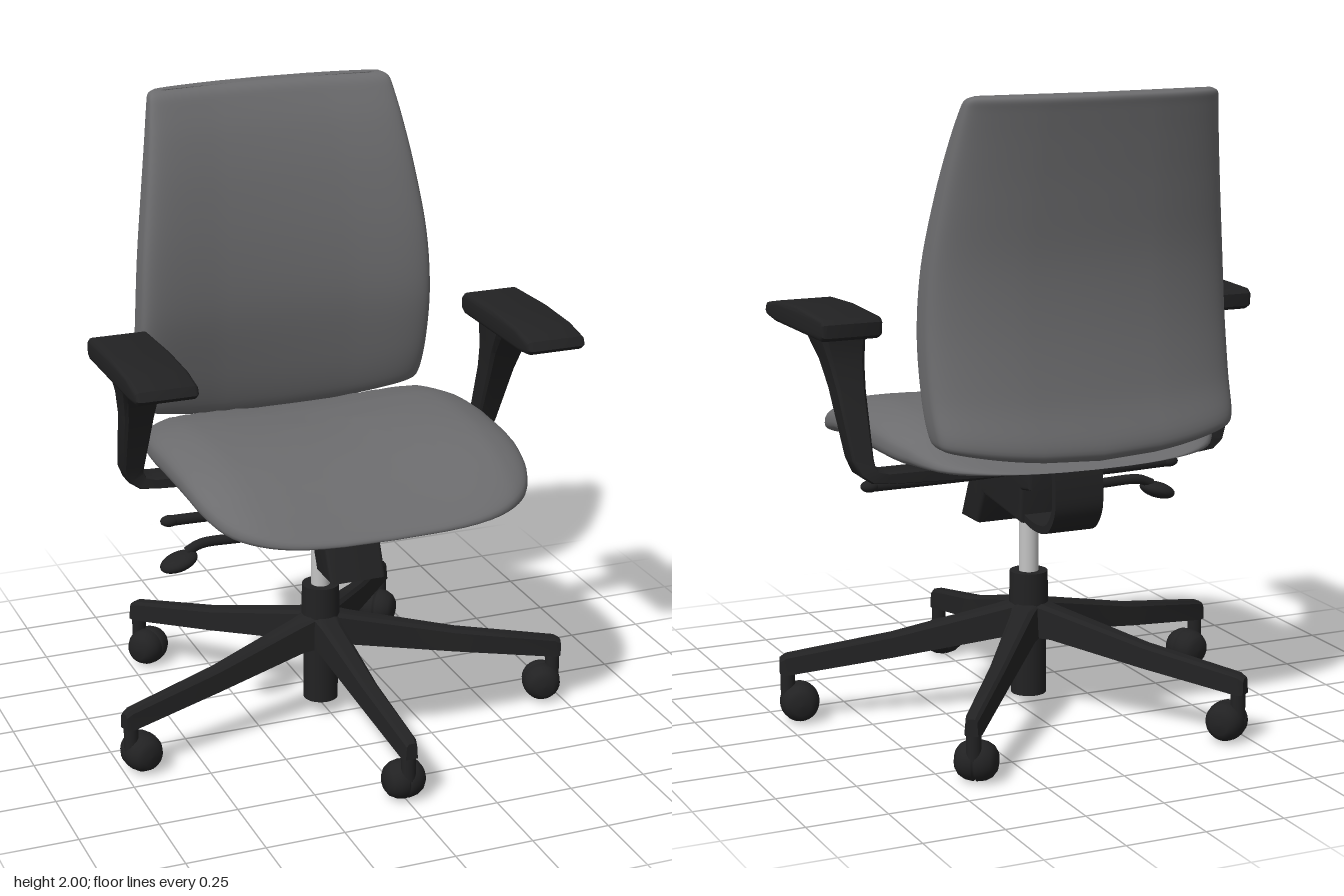
import * as THREE from 'three';
import { toCreasedNormals } from 'three/addons/utils/BufferGeometryUtils.js';

const fabric = new THREE.MeshStandardMaterial({ color: 0x6c6c6e });
fabric.name = 'grey fabric';
const plastic = new THREE.MeshStandardMaterial({ color: 0x222223 });
plastic.name = 'black plastic';
const steel = new THREE.MeshStandardMaterial({ color: 0xc4c4c4 });
steel.name = 'light steel';

const V = (x, y, z) => new THREE.Vector3(x, y, z);
const spow = (v, e) => Math.sign(v) * Math.abs(v) ** e;

function part(parent, name, geo, mat) {
  const m = new THREE.Mesh(geo, mat);
  m.name = name;
  parent.add(m);
  return m;
}

// Closed skin through rings of equal length, with fan caps; always faces outwards
function loft(rings, crease = 0) {
  const n = rings[0].length, pts = rings.flat(), tris = [];
  for (let i = 0; i < rings.length - 1; i++)
    for (let j = 0; j < n; j++) {
      const a = i * n + j, b = i * n + (j + 1) % n;
      tris.push([a, b, a + n], [b, b + n, a + n]);
    }
  for (const end of [0, rings.length - 1]) {
    const c = V(0, 0, 0);
    rings[end].forEach(p => c.addScaledVector(p, 1 / n));
    pts.push(c);
    for (let j = 0; j < n; j++) {
      const a = end * n + j, b = end * n + (j + 1) % n, k = pts.length - 1;
      tris.push(end ? [a, b, k] : [b, a, k]);
    }
  }
  let volume = 0;
  for (const [a, b, c] of tris) volume += pts[a].dot(pts[b].clone().cross(pts[c]));
  const geo = new THREE.BufferGeometry().setFromPoints(pts);
  geo.setIndex(tris.flatMap(t => (volume < 0 ? [t[0], t[2], t[1]] : t)));
  geo.computeVertexNormals();
  return crease ? toCreasedNormals(geo, crease) : geo;
}

// Side outline given as [z, y], extruded from x0 to x1 with a bevel
function sideExtrude(outline, x0, x1, bevel) {
  const shape = new THREE.Shape(outline.map(p => new THREE.Vector2(...p)));
  const geo = new THREE.ExtrudeGeometry(shape, {
    depth: x1 - x0 - 2 * bevel, bevelSize: bevel, bevelThickness: bevel,
    bevelOffset: -bevel, bevelSegments: 3, curveSegments: 8,
  });
  geo.rotateY(-Math.PI / 2).translate(x1 - bevel, 0, 0);
  return toCreasedNormals(geo, 0.6);
}

const tube = (points, r) => new THREE.TubeGeometry(
  new THREE.CatmullRomCurve3(points.map(p => V(...p))), 24, r, 10);

function cylinder(parent, name, r, y0, y1, x, z, mat, rTop = r) {
  const m = part(parent, name, new THREE.CylinderGeometry(rTop, r, y1 - y0, 28), mat);
  m.position.set(x, (y0 + y1) / 2, z);
}

// Smooth value from a table of [position, value]
function table(rows) {
  return s => {
    let i = 0;
    while (i < rows.length - 2 && s > rows[i + 1][0]) i++;
    const [a, va] = rows[i], [b, vb] = rows[i + 1];
    return va + (vb - va) * THREE.MathUtils.clamp((s - a) / (b - a), 0, 1);
  };
}

function seatGeometry() {
  const top = table([[-0.55, 0.92], [-0.42, 0.95], [-0.3, 1.02], [-0.15, 1.045], [0, 1.052],
    [0.12, 1.045], [0.25, 1.025], [0.36, 0.995], [0.45, 0.955], [0.55, 0.9]]);
  const bottom = table([[-0.55, 0.89], [-0.45, 0.87], [-0.26, 0.855], [0, 0.862],
    [0.2, 0.866], [0.32, 0.845], [0.43, 0.82], [0.55, 0.812]]);
  const rings = [];
  for (let i = 1; i < 36; i++) {
    const f = (i / 36 - 0.5) * Math.PI, r = Math.cos(f) ** 0.75, t = spow(Math.sin(f), 0.75);
    const ring = [];
    for (let j = 0; j < 72; j++) {
      const a = j / 72 * 2 * Math.PI, e = 2 / (Math.sin(a) > 0 ? 4 : 3);
      const x = 0.545 * r * spow(Math.cos(a), e), z = 0.55 * r * spow(Math.sin(a), e);
      const dish = 0.03 * Math.max(0, 1 - (x / 0.42) ** 2);
      const lo = bottom(z), hi = top(z) - dish, mid = lo + (hi - lo) * 0.42;
      ring.push(V(x - 0.008, t > 0 ? mid + (hi - mid) * t : mid + (mid - lo) * t, z));
    }
    rings.push(ring);
  }
  return loft(rings);
}

function backGeometry() {
  // height, half width, front z at the sides, rear z at the centre
  const rows = [[0.912, 0.42, -0.44, -0.53], [0.925, 0.47, -0.385, -0.572], [0.97, 0.488, -0.352, -0.582],
    [1.1, 0.495, -0.318, -0.545], [1.3, 0.495, -0.29, -0.517], [1.5, 0.483, -0.3, -0.512],
    [1.7, 0.455, -0.338, -0.533], [1.85, 0.43, -0.385, -0.555], [1.95, 0.412, -0.432, -0.572],
    [1.987, 0.402, -0.458, -0.578], [2, 0.38, -0.492, -0.565]];
  const curve = f => new THREE.CatmullRomCurve3(rows.map(f), false, 'catmullrom');
  const size = curve(r => V(r[0], r[1], r[2])), rear = curve(r => V(r[3], 0, 0));
  const rings = [];
  for (let i = 0; i <= 50; i++) {
    const { x: y, y: w, z: side } = size.getPoint(i / 50), back = rear.getPoint(i / 50).x;
    const bend = 0.062 * (w / 0.495) ** 2, front = side - bend;
    const ring = [];
    for (let j = 0; j < 72; j++) {
      const a = j / 72 * 2 * Math.PI, u = spow(Math.cos(a), 0.38), v = spow(Math.sin(a), 0.45);
      const lift = 0.05 * u * u * Math.max(0, 1 - (y - 0.912) / 0.4);
      ring.push(V(w * u - 0.012, y + lift, (front + back) / 2 + v * (front - back) / 2 + bend * u * u));
    }
    rings.push(ring);
  }
  return loft(rings);
}

// Arm post: wide at the pad, bending inwards under the seat
function armGeometry(side) {
  // x, y, z, half thickness, half depth, turn of the section
  const sections = [[0.618, 1.285, 0, 0.074, 0.095, 0], [0.615, 1.24, -0.015, 0.068, 0.075, 0],
    [0.61, 1.18, -0.04, 0.056, 0.054, 0], [0.606, 1.1, -0.07, 0.046, 0.046, 0],
    [0.602, 0.9, -0.155, 0.034, 0.038, 0], [0.592, 0.868, -0.165, 0.028, 0.04, -0.5],
    [0.57, 0.848, -0.168, 0.022, 0.045, -1.1], [0.53, 0.842, -0.168, 0.018, 0.05, -1.57],
    [0.3, 0.835, -0.16, 0.022, 0.055, -1.57], [0.04, 0.825, -0.14, 0.025, 0.06, -1.57]];
  return loft(sections.map(([x, y, z, h, d, a]) => [[1, 0.8], [0.8, 1], [-0.8, 1], [-1, 0.8],
    [-1, -0.8], [-0.8, -1], [0.8, -1], [1, -0.8]].map(([p, q]) =>
    V(side * (x + Math.cos(a) * h * p) - 0.008, y + Math.sin(a) * h * p, z + d * q))), 0.7);
}

function addBase(chair) {
  const base = new THREE.Group();
  base.name = 'base';
  chair.add(base);
  const hx = -0.02, hz = -0.04;
  cylinder(base, 'hub', 0.064, 0.26, 0.455, hx, hz, plastic, 0.06);
  cylinder(base, 'columnHousing', 0.056, 0.055, 0.3, hx, hz, plastic);
  cylinder(base, 'gasColumn', 0.031, 0.45, 0.72, hx, hz, steel);
  const barrel = [[0, -0.064], [0.03, -0.062], [0.047, -0.05], [0.058, -0.03], [0.062, -0.006], [0.055, -0.003],
    [0.055, 0.003], [0.062, 0.006], [0.058, 0.03], [0.047, 0.05], [0.03, 0.062], [0, 0.064]];
  const wheel = new THREE.LatheGeometry(barrel.map(p => new THREE.Vector2(...p)), 28);
  wheel.rotateX(Math.PI / 2);
  for (const [x, z] of [[0, 0.605], [0.69, 0.14], [-0.69, 0.14], [0.41, -0.6], [-0.435, -0.59]]) {
    const reach = Math.hypot(x - hx, z - hz);
    const leg = new THREE.Group();
    leg.name = 'legWithCaster';
    leg.position.set(hx, 0, hz);
    leg.rotation.y = -Math.atan2(z - hz, x - hx);
    base.add(leg);
    // distance, half width below, half width above, bottom, top
    const bars = [[0.02, 0.05, 0.045, 0.25, 0.365], [0.1, 0.044, 0.036, 0.25, 0.345],
      [reach * 0.6, 0.033, 0.026, 0.2, 0.272], [reach + 0.04, 0.027, 0.022, 0.158, 0.222],
      [reach + 0.06, 0.02, 0.017, 0.158, 0.21]];
    part(leg, 'leg', loft(bars.map(([d, lo, hi, b, t]) =>
      [V(d, b, -lo), V(d, b, lo), V(d, t - 0.01, hi), V(d, t, hi * 0.6), V(d, t, -hi * 0.6), V(d, t - 0.01, -hi)]), 0.5), plastic);
    cylinder(leg, 'casterStem', 0.023, 0.08, 0.18, reach + 0.036, 0, plastic);
    part(leg, 'caster', wheel, plastic).position.set(reach, 0.066, 0);
  }
}

function addMechanism(chair) {
  const mech = new THREE.Group();
  mech.name = 'tiltMechanism';
  chair.add(mech);
  part(mech, 'housing', sideExtrude([[0.255, 0.58], [0.13, 0.58], [0.08, 0.685], [-0.2, 0.655], [-0.205, 0.76],
    [-0.265, 0.77], [-0.265, 0.83], [0.07, 0.875], [0.125, 0.865]], -0.1, 0.085, 0.012), plastic);
  part(mech, 'mountingPlate', new THREE.BoxGeometry(0.32, 0.05, 0.3), plastic).position.set(-0.01, 0.84, -0.09);
  // Curved strap carrying the backrest
  const path = new THREE.CatmullRomCurve3([[-0.18, 0.672], [-0.28, 0.658], [-0.36, 0.672], [-0.405, 0.73],
    [-0.41, 0.8], [-0.4, 0.89]].map(([z, y]) => V(0, y, z)));
  part(mech, 'backStrap', loft([...Array(25).keys()].map(i => {
    const p = path.getPoint(i / 24), t = path.getTangent(i / 24), n = V(0, -t.z, t.y).multiplyScalar(0.012);
    return [[-1, -1], [1, -1], [1, 1], [-1, 1]].map(([s, k]) => V(0.08 * s - 0.01, p.y + n.y * k, p.z + n.z * k));
  }), 0.6), plastic);
  // Levers
  const rod = (name, pts, r) => part(mech, name, tube(pts, r), plastic);
  const knob = (x, y, z, sx, sy, sz, tilt = 0) => {
    const m = part(mech, 'leverGrip', new THREE.SphereGeometry(1, 20, 12), plastic);
    m.position.set(x, y, z);
    m.scale.set(sx, sy, sz);
    m.rotation.z = tilt;
  };
  rod('tiltLever', [[-0.05, 0.79, -0.02], [-0.15, 0.775, -0.02], [-0.22, 0.755, -0.02], [-0.53, 0.755, -0.02]], 0.017);
  knob(-0.53, 0.755, -0.02, 0.03, 0.018, 0.022);
  rod('heightLever', [[-0.05, 0.73, 0.04], [-0.13, 0.7, 0.04], [-0.3, 0.69, 0.04], [-0.45, 0.69, 0.04],
    [-0.5, 0.67, 0.045]], 0.016);
  knob(-0.525, 0.645, 0.05, 0.062, 0.026, 0.05, 0.3);
  rod('depthLever', [[0.05, 0.775, 0], [0.15, 0.772, 0], [0.5, 0.77, 0]], 0.018);
  knob(0.5, 0.77, 0, 0.03, 0.019, 0.024);
}

export function createModel() {
  const chair = new THREE.Group();
  chair.name = 'officeChair';
  addBase(chair);
  addMechanism(chair);
  part(chair, 'seat', seatGeometry(), fabric);
  part(chair, 'backrest', backGeometry(), fabric);
  // Armrests
  const pad = [[0.328, 1.285], [0.315, 1.312], [0.22, 1.33], [0.05, 1.337], [-0.17, 1.33], [-0.186, 1.315],
    [-0.184, 1.275], [-0.16, 1.262], [0.24, 1.262], [0.31, 1.27]];
  for (const side of [-1, 1]) {
    const arm = new THREE.Group();
    arm.name = side > 0 ? 'leftArmrest' : 'rightArmrest';
    chair.add(arm);
    part(arm, 'armPost', armGeometry(side), plastic);
    part(arm, 'armPad', sideExtrude(pad, side * 0.627 - 0.104, side * 0.627 + 0.09, 0.014), plastic);
  }
  return chair;
}
